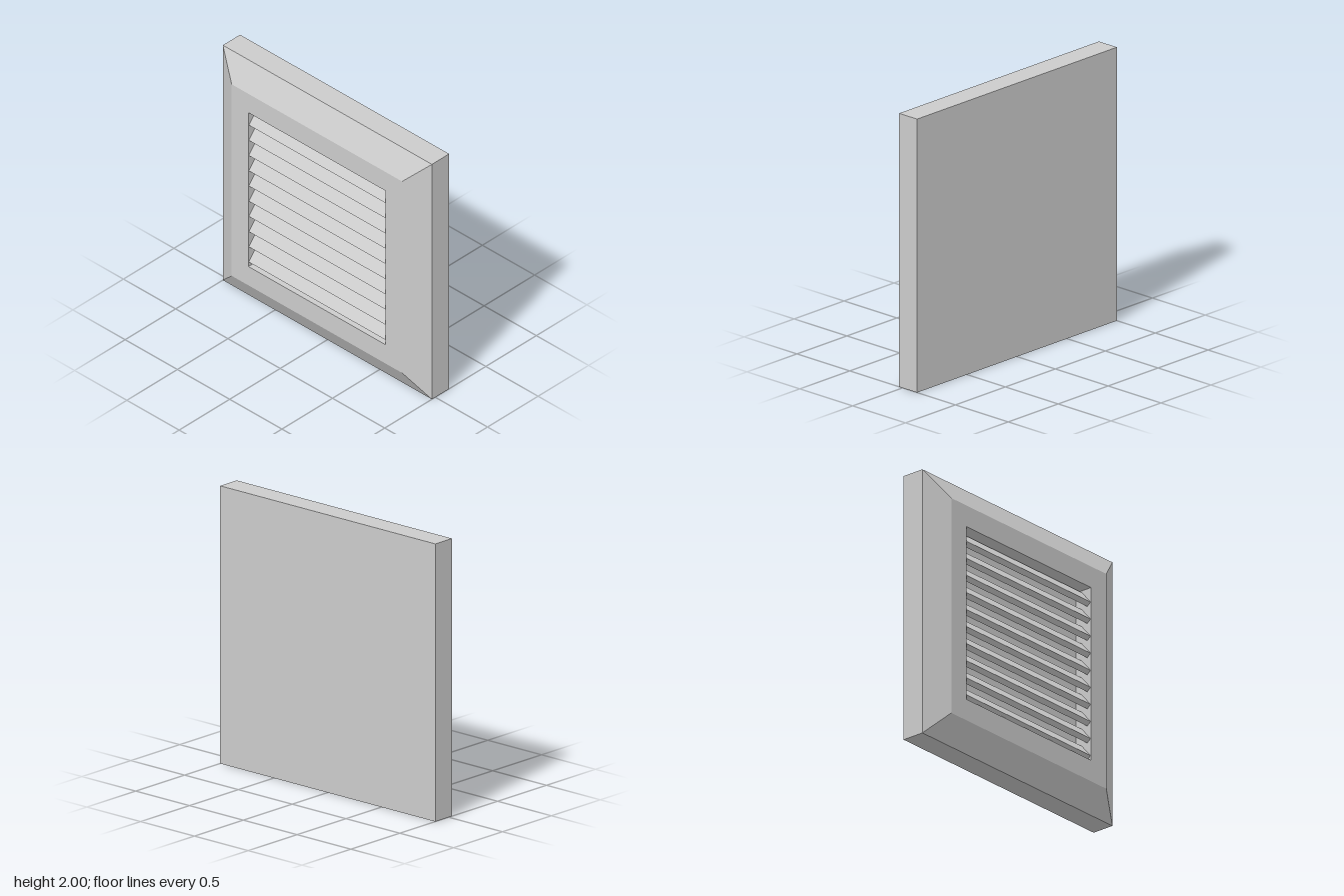
import * as THREE from 'three';

const material = new THREE.MeshStandardMaterial({ color: 0xcccccc, flatShading: true });

// Square solid: a four-sided lathe turned to face +z; profile is [halfWidth, z]
function squareLathe(profile) {
  const points = profile.map(([half, z]) => new THREE.Vector2(half * Math.SQRT2, z));
  const geometry = new THREE.LatheGeometry(points, 4, Math.PI / 4).toNonIndexed();
  geometry.rotateX(Math.PI / 2);
  geometry.computeVertexNormals();
  return geometry;
}

export function createModel() {
  const group = new THREE.Group();
  group.name = 'louveredVent';

  // Solid back, straight rim, bevelled face and square recess
  const frame = new THREE.Mesh(squareLathe([
    [0, -0.137], [1, -0.137], [1, 0.033], [0.815, 0.137],
    [0.655, 0.137], [0.655, 0], [0, 0],
  ]), material);
  frame.name = 'frame';
  frame.position.y = 1;
  group.add(frame);

  // Tilted slats, pivoting on their upper front edge
  const tilt = THREE.MathUtils.degToRad(50);
  const thickness = 0.04, depth = 0.125, count = 10, pitch = 0.1295;
  const slatGeometry = new THREE.BoxGeometry(1.31, thickness, depth);
  slatGeometry.translate(0, -thickness / 2, -depth / 2);
  slatGeometry.rotateX(tilt);
  const slats = new THREE.Group();
  slats.name = 'slats';
  for (let i = 0; i < count; i++) {
    const slat = new THREE.Mesh(slatGeometry, material);
    slat.name = `slat${i + 1}`;
    slat.position.set(0, 1.547 - i * pitch, 0.133);
    slats.add(slat);
  }
  group.add(slats);

  return group;
}
